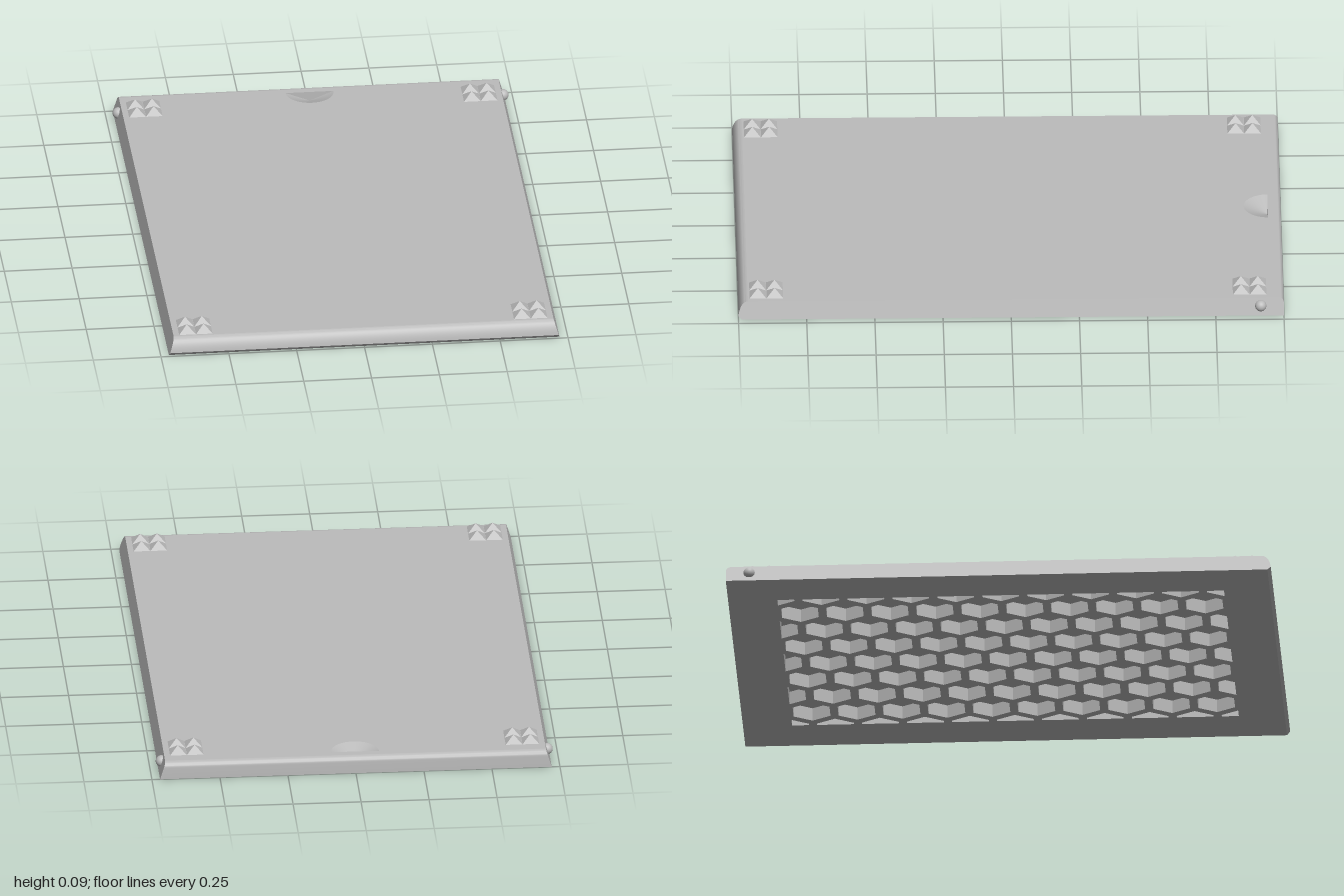
import * as THREE from 'three';
import { toCreasedNormals } from 'three/addons/utils/BufferGeometryUtils.js';

const H = 0.065;              // panel thickness
const W = 0.72, TAPER = 0.02; // half width at the base and its loss at the top
const BACK = -0.978, FRONT = 0.965; // ends of the flat top

const grey = new THREE.MeshStandardMaterial({ color: 0xbbbbbb, side: THREE.DoubleSide });
grey.name = 'grey plastic';

const v2 = (x, y) => new THREE.Vector2(x, y);
const rect = (x0, y0, x1, y1) => [v2(x0, y0), v2(x1, y0), v2(x1, y1), v2(x0, y1)];

function add(parent, name, geometry, x = 0, y = 0, z = 0) {
  const mesh = new THREE.Mesh(geometry, grey);
  mesh.name = name;
  mesh.position.set(x, y, z);
  parent.add(mesh);
  return mesh;
}

// Rounded side profile swept across the width, without its flat top and underside
function rimGeometry() {
  const s = new THREE.Shape();
  s.moveTo(-1, 0);
  s.lineTo(0.988, 0);
  s.lineTo(1, 0.013);
  s.bezierCurveTo(0.997, 0.04, 0.985, H, FRONT, H);
  s.lineTo(BACK, H);
  s.quadraticCurveTo(-1, H, -1, H - 0.022);
  s.closePath();
  const g = new THREE.ExtrudeGeometry(s, { depth: 2, bevelEnabled: false, curveSegments: 8 }).toNonIndexed();
  g.rotateY(-Math.PI / 2).translate(1, 0, 0);
  const p = g.attributes.position, kept = [];
  for (let i = 0; i < p.count; i += 3) {
    const ys = [0, 1, 2].map((k) => p.getY(i + k));
    if (ys.every((y) => y < 1e-5) || ys.every((y) => y > H - 1e-5)) continue;
    for (let k = 0; k < 3; k++) {
      kept.push(p.getX(i + k) * (W - TAPER * ys[k] / H), ys[k], p.getZ(i + k));
    }
  }
  const rim = new THREE.BufferGeometry();
  rim.setAttribute('position', new THREE.Float32BufferAttribute(kept, 3));
  return toCreasedNormals(rim, 0.5);
}

// Cuts a polygon to the half plane where sign * p[axis] <= limit
function clip(points, axis, sign, limit) {
  const out = [];
  points.forEach((a, i) => {
    const b = points[(i + 1) % points.length];
    const da = limit - sign * a[axis], db = limit - sign * b[axis];
    if (da >= 0) out.push(a);
    if (da * db < 0) out.push(a.clone().lerp(b, da / (da - db)));
  });
  return out;
}

// Hexagonal pockets, trimmed to a rectangle
function pockets(halfX, halfZ, pitch, radius) {
  const holes = [], step = pitch * Math.sqrt(3) / 2;
  for (let i = -5; i <= 5; i++) {
    for (let j = -7; j <= 7; j++) {
      const cx = i * step, cz = (j + (i % 2 ? 0.5 : 0)) * pitch;
      let hex = [];
      for (let k = 0; k < 6; k++) {
        const a = k * Math.PI / 3;
        hex.push(v2(cx + radius * Math.cos(a), cz + radius * Math.sin(a)));
      }
      for (const [axis, limit] of [['x', halfX], ['y', halfZ]]) {
        for (const sign of [-1, 1]) hex = clip(hex, axis, sign, limit);
      }
      if (hex.length > 2 && Math.abs(THREE.ShapeUtils.area(hex)) > 0.0006) holes.push(new THREE.Path(hex));
    }
  }
  return holes;
}

export function createModel() {
  const model = new THREE.Group();
  model.name = 'coverPanel';

  add(model, 'panelRim', rimGeometry());

  // Top face with the thumb notch cut out
  const r = 0.088, notchZ = -0.952;
  const top = new THREE.Shape(rect(-W + TAPER, -FRONT, W - TAPER, -BACK));
  top.holes.push(new THREE.Path().absarc(0, -notchZ, r, Math.PI, 2 * Math.PI, false));
  add(model, 'topFace', new THREE.ShapeGeometry(top, 24).rotateX(-Math.PI / 2), 0, H, 0);

  // Thumb notch: half a hollow cone with an upright back wall
  const notchDepth = 0.035;
  const scoop = new THREE.ConeGeometry(r, notchDepth, 24, 1, true, -Math.PI / 2, Math.PI).rotateZ(Math.PI);
  add(model, 'notchScoop', scoop, 0, H - notchDepth / 2, notchZ);
  const wall = new THREE.Shape([v2(-r, 0), v2(0, -notchDepth), v2(r, 0)]);
  add(model, 'notchWall', new THREE.ShapeGeometry(wall), 0, H, notchZ);

  // Underside border around the honeycomb
  const border = new THREE.Shape(rect(-W, -1, W, 0.988));
  border.holes.push(new THREE.Path(rect(-0.6, -0.88, 0.6, 0.88)));
  add(model, 'undersideBorder', new THREE.ShapeGeometry(border).rotateX(Math.PI / 2));

  // Honeycomb core and the floor of its pockets
  const depth = 0.05;
  const core = new THREE.Shape(rect(-0.6, -0.88, 0.6, 0.88));
  core.holes = pockets(0.545, 0.82, 0.165, 0.078);
  const coreGeometry = new THREE.ExtrudeGeometry(core, { depth, bevelEnabled: false });
  add(model, 'honeycombCore', coreGeometry.rotateX(Math.PI / 2), 0, depth, 0);
  add(model, 'pocketFloor', new THREE.PlaneGeometry(1.2, 1.76).rotateX(Math.PI / 2), 0, depth, 0);

  // Grip studs: four small pyramids at each corner
  const height = 0.027;
  const pyramid = new THREE.ConeGeometry(0.0305 * Math.SQRT2, height, 4, 1, true)
    .rotateY(Math.PI / 4).toNonIndexed();
  pyramid.computeVertexNormals();
  for (const side of [-1, 1]) {
    for (const z of [-0.875, 0.897]) {
      const studs = new THREE.Group();
      studs.name = 'gripStuds';
      studs.position.set(side * 0.617, H + height / 2, z);
      for (const dx of [-1, 1]) {
        for (const dz of [-1, 1]) add(studs, 'stud', pyramid, dx * 0.031, 0, dz * 0.031);
      }
      model.add(studs);
    }
    // Snap bump near the back of each side
    add(model, 'snapBump', new THREE.SphereGeometry(0.021, 24, 16), side * 0.709, 0.035, -0.915);
  }
  return model;
}
